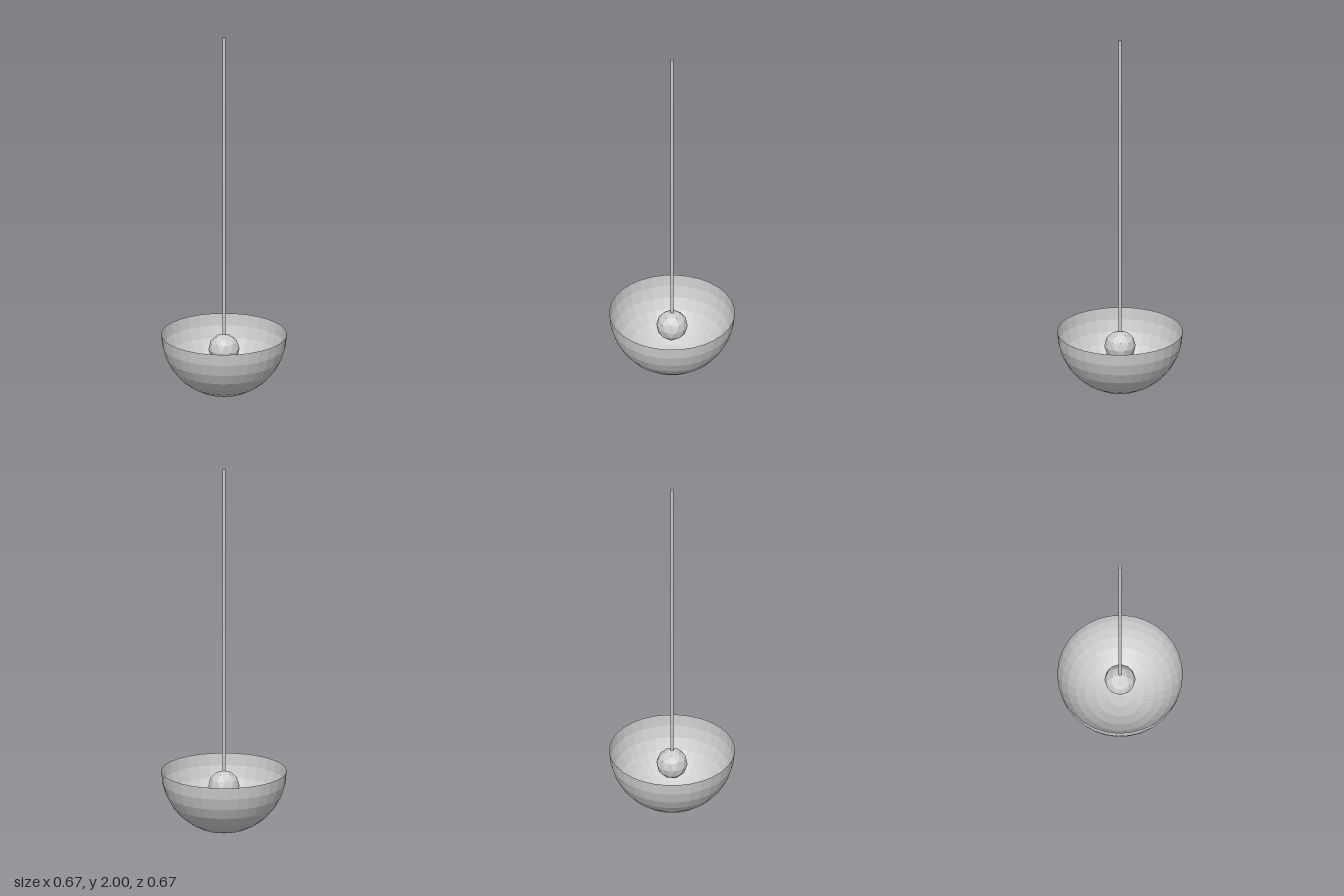
import * as THREE from 'three';

export function createModel() {
  const R = 1 / 3; // bowl radius, the unit for all parts
  const grey = new THREE.MeshStandardMaterial({ color: 0xcccccc, flatShading: true, side: THREE.DoubleSide });
  grey.name = 'plain grey';

  const lamp = new THREE.Group();
  lamp.name = 'bowlPendantLamp';
  const add = (name, geometry, y) => {
    const mesh = new THREE.Mesh(geometry, grey);
    mesh.name = name;
    mesh.position.y = y;
    lamp.add(mesh);
  };

  // Open bowl shade: the lower half of a faceted sphere
  add('bowlShade', new THREE.SphereGeometry(R, 32, 8, 0, Math.PI * 2, Math.PI / 2, Math.PI / 2), R);

  // Faceted bulb, turned so that one corner points straight up at the rod
  const bulb = new THREE.IcosahedronGeometry(R / 4, 1);
  bulb.rotateZ(-Math.atan(2 / (1 + Math.sqrt(5))));
  add('bulb', bulb, R * 0.75);

  // Thin hanging rod from the top of the bulb
  add('hangingRod', new THREE.CylinderGeometry(R * 0.025, R * 0.025, R * 5, 32), R * 3.5);

  return lamp;
}
